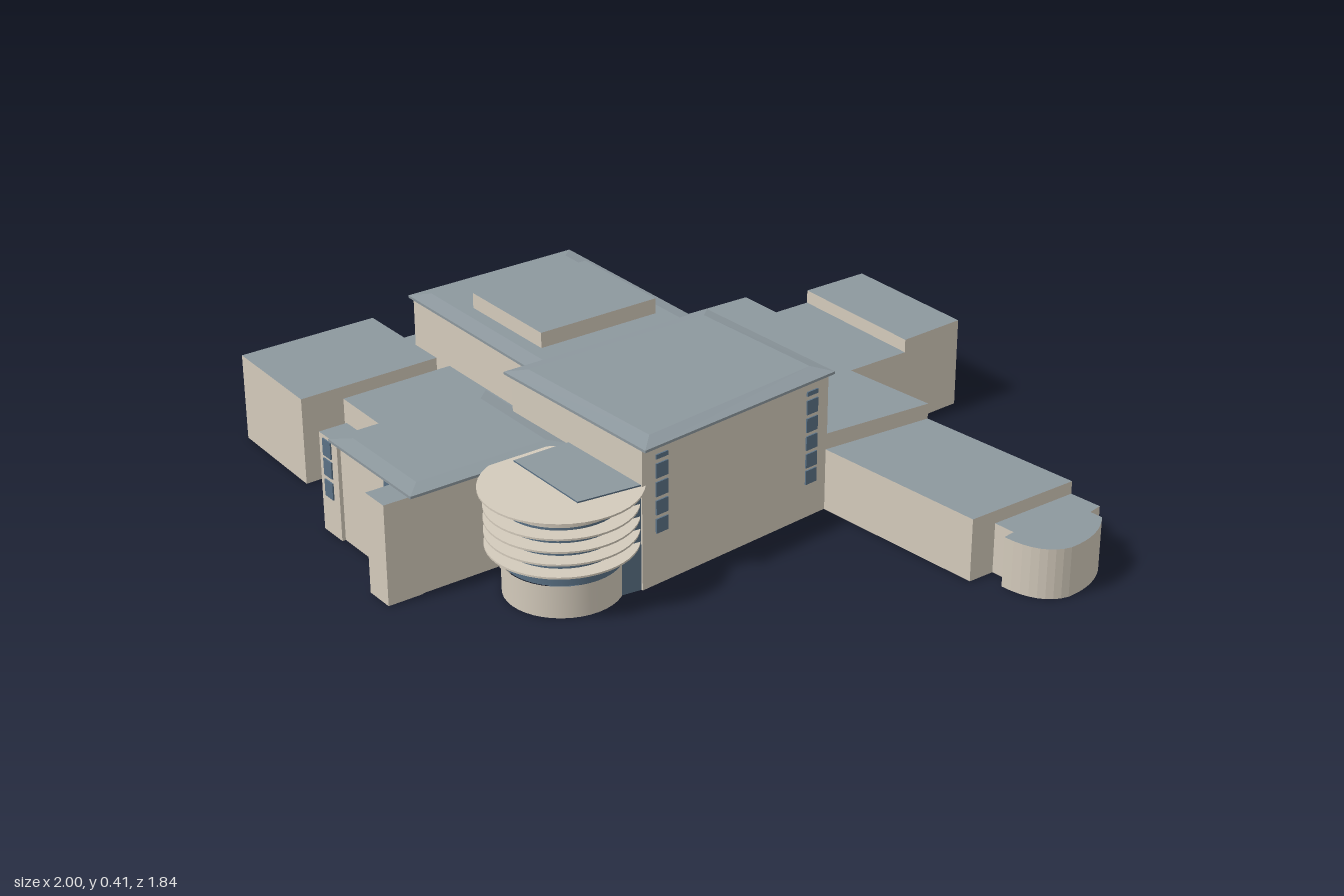
import * as THREE from 'three';

const material = (name, color, side = THREE.DoubleSide) => {
  const m = new THREE.MeshStandardMaterial({ color, side });
  m.name = name;
  return m;
};

export function createModel() {
  const stone = material('stone', 0xd3cabb);
  const slate = material('slate', 0x8d989e);
  const glass = material('glass', 0x5a7185);
  const model = new THREE.Group();

  const add = (parent, name, geometry, mat) => {
    const mesh = new THREE.Mesh(geometry, mat);
    mesh.name = name;
    parent.add(mesh);
    return mesh;
  };

  // Plan outlines are [x, z] pairs, always turned counter-clockwise seen from above
  const ordered = (plan) => {
    const pts = plan.map(([x, z]) => new THREE.Vector2(x, -z));
    return THREE.ShapeUtils.area(pts) < 0 ? plan.slice().reverse() : plan;
  };
  const rect = (x0, x1, z0, z1) => [[x0, z1], [x1, z1], [x1, z0], [x0, z0]];

  // Band of flat quads between two outlines with equal point counts
  const band = (low, y0, high, y1) => {
    const pos = [];
    low.forEach((a, i) => {
      const j = (i + 1) % low.length;
      const A = [a[0], y0, a[1]], B = [low[j][0], y0, low[j][1]];
      const C = [high[j][0], y1, high[j][1]], D = [high[i][0], y1, high[i][1]];
      pos.push(...A, ...B, ...C, ...A, ...C, ...D);
    });
    const g = new THREE.BufferGeometry();
    g.setAttribute('position', new THREE.Float32BufferAttribute(pos, 3));
    g.computeVertexNormals();
    return g;
  };

  const flat = (plan, y) => {
    const shape = new THREE.Shape(plan.map(([x, z]) => new THREE.Vector2(x, -z)));
    return new THREE.ShapeGeometry(shape).rotateX(-Math.PI / 2).translate(0, y, 0);
  };

  // Hollow block: walls from the ground and a flat roof
  const block = (name, outline, height, wallMat = stone) => {
    const plan = ordered(outline);
    const g = new THREE.Group();
    g.name = name;
    add(g, name + 'Walls', band(plan, 0, plan, height), wallMat);
    add(g, name + 'Roof', flat(plan, height), slate);
    model.add(g);
  };

  // Overhanging roof: thin fascia, shallow hips and a flat top
  const hipRoof = (name, outline, y, rise, inset) => {
    const plan = ordered(outline);
    const cx = plan.reduce((s, p) => s + p[0], 0) / plan.length;
    const cz = plan.reduce((s, p) => s + p[1], 0) / plan.length;
    const top = plan.map(([x, z]) => [x - Math.sign(x - cx) * inset, z - Math.sign(z - cz) * inset]);
    const g = new THREE.Group();
    g.name = name;
    add(g, name + 'Soffit', flat(plan, y), slate);
    add(g, name + 'Fascia', band(plan, y, plan, y + 0.007), slate);
    add(g, name + 'Hips', band(plan, y + 0.007, top, y + rise), slate);
    add(g, name + 'Top', flat(top, y + rise), slate);
    model.add(g);
  };

  // Low wings
  block('westWing', [[-1, 0.42], [-0.37, 0.42], [-0.37, -0.725], [-0.645, -0.72], [-0.655, -0.375], [-1, -0.37]], 0.135);
  block('southWestBlock', [[-0.955, 0.34], [-0.63, 0.34], [-0.625, 0.755], [-0.955, 0.745]], 0.245);
  block('southLink', [[-0.63, 0.28], [-0.3, 0.28], [-0.3, 0.635], [-0.63, 0.63]], 0.21);
  block('northLink', rect(-0.37, 0.045, -0.72, -0.2), 0.215);
  block('northBlock', [[-0.37, -0.72], [0.045, -0.72], [0.035, -0.92], [-0.37, -0.92]], 0.252);
  block('eastLink', [[0.045, -0.53], [0.32, -0.56], [0.295, -0.235], [0.045, -0.22]], 0.215);
  block('eastWing', [[0.32, -0.56], [0.8, -0.612], [0.8, -0.28], [0.297, -0.235]], 0.172);

  // Rounded end of the east wing
  const curve = new THREE.QuadraticBezierCurve(
    new THREE.Vector2(0.935, -0.585), new THREE.Vector2(1.0, -0.52), new THREE.Vector2(1.0, -0.42));
  const curveEnd = new THREE.QuadraticBezierCurve(
    new THREE.Vector2(1.0, -0.42), new THREE.Vector2(0.985, -0.335), new THREE.Vector2(0.865, -0.325));
  block('eastWingEnd', [[0.8, -0.612], [0.89, -0.622], [0.898, -0.582],
    ...curve.getPoints(8).map((p) => [p.x, p.y]),
    ...curveEnd.getPoints(8).slice(1).map((p) => [p.x, p.y]),
    [0.86, -0.36], [0.8, -0.355]], 0.137);

  // Two tall halls with hipped roofs and a rooftop storey
  block('westHall', rect(-0.8, -0.18, -0.21, 0.3), 0.347);
  hipRoof('westHallRoof', rect(-0.812, -0.185, -0.22, 0.308), 0.347, 0.016, 0.045);
  block('rooftopStorey', rect(-0.62, -0.3, -0.14, 0.225), 0.406);
  block('mainHall', [[-0.175, -0.225], [0.295, -0.24], [0.355, 0.385], [-0.175, 0.4]], 0.382);
  hipRoof('mainHallRoof', [[-0.193, -0.23], [0.305, -0.252], [0.373, 0.388], [-0.193, 0.412]], 0.382, 0.018, 0.045);

  // Front block with two corner piers
  block('frontBlock', rect(-0.32, 0.045, 0.38, 0.83), 0.274);
  hipRoof('frontBlockRoof', rect(-0.322, 0.06, 0.385, 0.85), 0.274, 0.014, 0.045);
  block('westPier', rect(-0.385, -0.3, 0.76, 0.84), 0.274);
  block('frontPier', rect(-0.035, 0.048, 0.82, 0.918), 0.274);

  // Window panes on the front
  for (const [x, z] of [[-0.346, 0.841], [-0.071, 0.831]]) {
    for (const y of [0.128, 0.187, 0.242]) {
      add(model, 'frontWindow', new THREE.BoxGeometry(0.038, 0.046, 0.006), glass).position.set(x, y, z);
    }
  }

  // Window panes on the slanting east wall of the main hall
  const slant = Math.atan2(0.06, 0.625);
  for (const z of [0.323, -0.183]) {
    const heights = z > 0 ? [0.162, 0.212, 0.262, 0.312] : [0.115, 0.162, 0.212, 0.262, 0.312];
    for (const y of [...heights, 0.35]) {
      const pane = add(model, 'eastWindow', new THREE.BoxGeometry(0.006, y > 0.34 ? 0.012 : 0.039, 0.038), glass);
      pane.position.set(0.295 + (z + 0.24) * 0.096 + 0.001, y, z);
      pane.rotation.y = slant;
    }
  }

  // Glazed lobby behind the drum
  block('lobby', [[0.06, 0.37], [0.352, 0.37], [0.33, 0.555], [0.06, 0.555]], 0.288, glass);
  block('lobbyPier', rect(0.05, 0.09, 0.49, 0.6), 0.132);

  // Round entrance drum: stone base, glass wall, sun fins and canopy
  const drum = new THREE.Group();
  drum.name = 'entranceDrum';
  drum.position.set(0.225, 0, 0.53);
  model.add(drum);
  const tube = (name, y0, y1, r, mat) =>
    add(drum, name, new THREE.CylinderGeometry(r, r, y1 - y0, 40, 1, true).translate(0, (y0 + y1) / 2, 0), mat);
  tube('drumBase', 0, 0.087, 0.15, stone);
  tube('drumGlass', 0.087, 0.245, 0.147, glass);
  tube('drumCornice', 0.245, 0.275, 0.15, stone);
  const ring = (r0, r1, y, t) => {
    const shape = new THREE.Shape().absarc(0, 0, r1, 0, Math.PI * 2);
    shape.holes.push(new THREE.Path().absarc(0, 0, r0, 0, Math.PI * 2, true));
    return new THREE.ExtrudeGeometry(shape, { depth: t, bevelEnabled: false, curveSegments: 24 })
      .rotateX(-Math.PI / 2).translate(0, y, 0);
  };
  for (const y of [0.129, 0.164, 0.198, 0.232]) {
    add(drum, 'sunFin', ring(0.14, 0.19, y, 0.005), stone);
  }
  const canopy = [[0.15, 0.262], [0.203, 0.279], [0.203, 0.284], [0, 0.284]].map(([x, y]) => new THREE.Vector2(x, y));
  const canopyGeometry = new THREE.LatheGeometry(canopy, 40).toNonIndexed();
  canopyGeometry.computeVertexNormals();
  add(drum, 'canopy', canopyGeometry, stone);

  return model;
}
